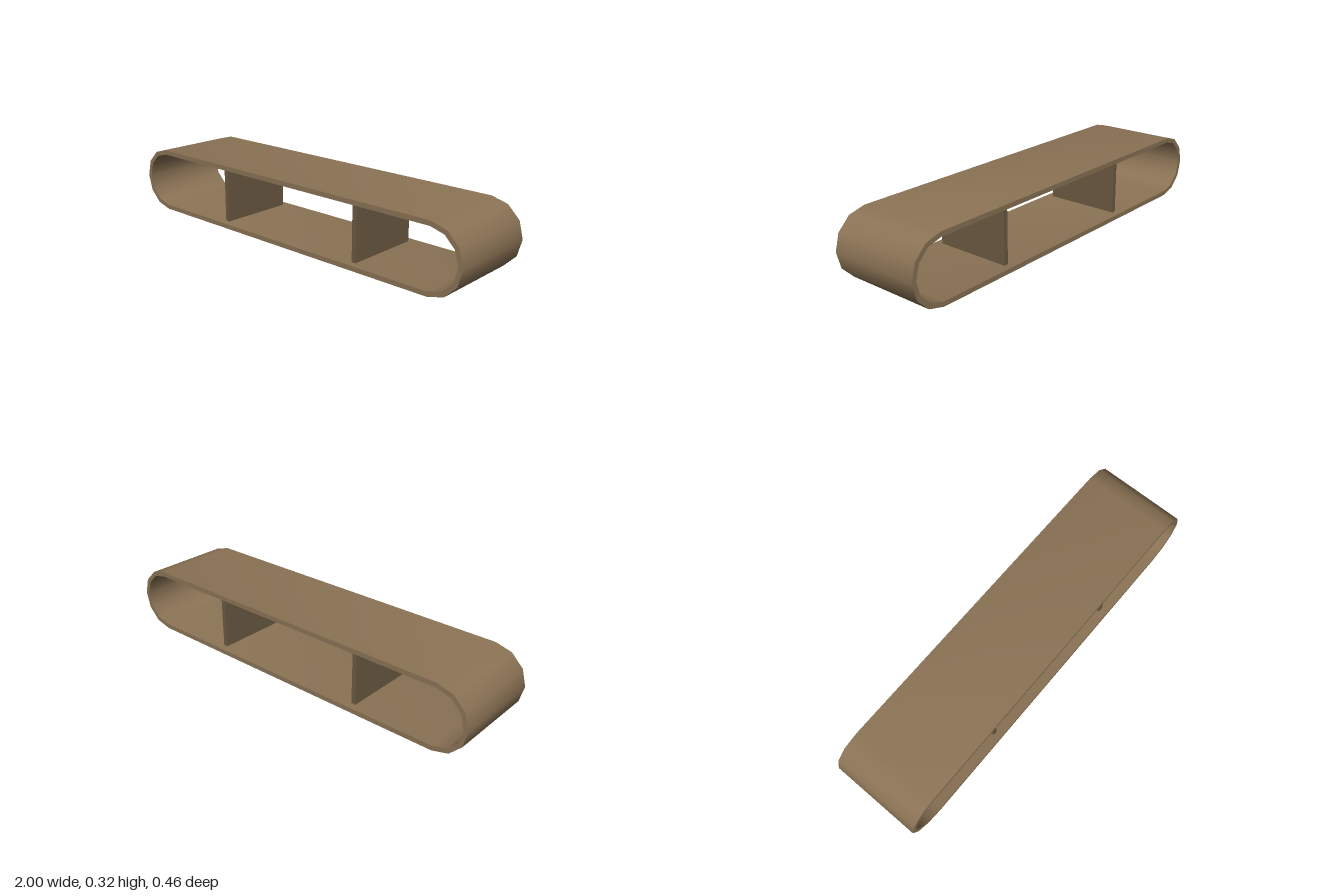
import * as THREE from 'three';
import { toCreasedNormals } from 'three/addons/utils/BufferGeometryUtils.js';

const RADIUS = 0.161;   // outer end radius
const WALL = 0.023;     // shell thickness
const DEPTH = 0.455;    // shell depth along z
const END_X = 1 - RADIUS; // centre of each rounded end
const SEGMENTS = 6;     // facets per rounded end

// Stadium outline: two faceted half circles joined by straight runs
function stadium(radius) {
  const points = [];
  for (const side of [1, -1]) {
    for (let i = 0; i <= SEGMENTS; i++) {
      const a = -Math.PI / 2 + (i / SEGMENTS) * Math.PI;
      points.push(new THREE.Vector2(
        side * (END_X + radius * Math.cos(a)),
        RADIUS + side * radius * Math.sin(a)
      ));
    }
  }
  return points;
}

export function createModel() {
  const group = new THREE.Group();
  group.name = 'openShelf';
  const shellMaterial = new THREE.MeshStandardMaterial({ color: 0x8b7355 });
  const dividerMaterial = new THREE.MeshStandardMaterial({ color: 0x6b5a42 });

  // Rounded shell, open at front and back
  const shape = new THREE.Shape(stadium(RADIUS));
  shape.holes.push(new THREE.Path(stadium(RADIUS - WALL)));
  const shellGeometry = new THREE.ExtrudeGeometry(shape, { depth: DEPTH, bevelEnabled: false });
  shellGeometry.translate(0, 0, -DEPTH / 2);
  const shell = new THREE.Mesh(toCreasedNormals(shellGeometry, Math.PI / 4), shellMaterial);
  shell.name = 'shell';
  group.add(shell);

  // Upright dividers, set back slightly from both openings
  const dividerGeometry = new THREE.BoxGeometry(0.022, 2 * (RADIUS - WALL), 0.384);
  for (const [name, x] of [['rightDivider', -0.4], ['leftDivider', 0.428]]) {
    const divider = new THREE.Mesh(dividerGeometry, dividerMaterial);
    divider.name = name;
    divider.position.set(x, RADIUS, 0);
    group.add(divider);
  }
  return group;
}
